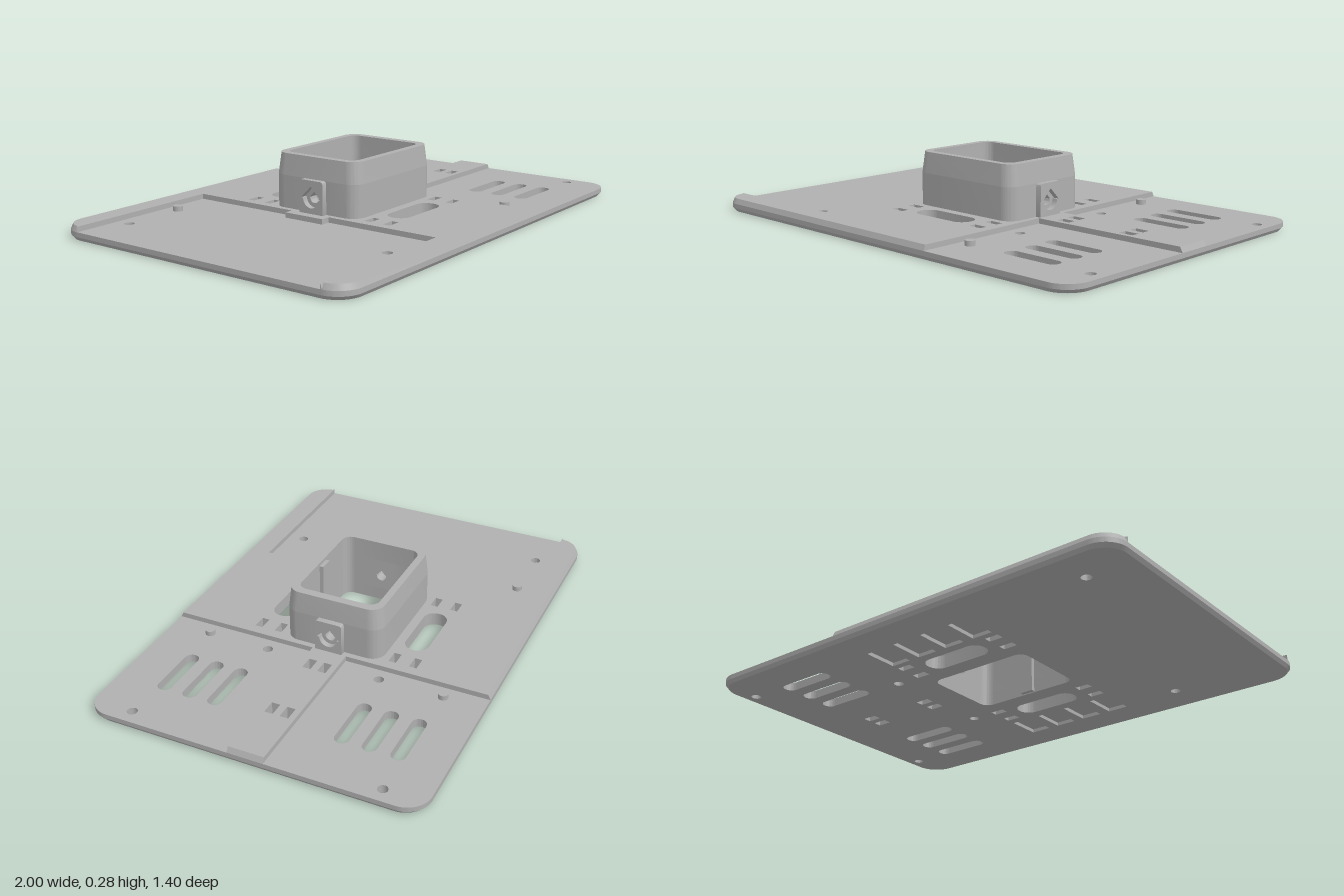
import * as THREE from 'three';
import { toCreasedNormals } from 'three/addons/utils/BufferGeometryUtils.js';

const BASE = 0.035, DECK = 0.057, PAD = 0.015, BOSS = 0.195, TOP = 0.285;

// Rounded rectangle, usable as an outline or a hole
function rect(x0, x1, y0, y1, r = 0) {
  const s = new THREE.Shape();
  if (r === 0) {
    s.moveTo(x0, y0).lineTo(x1, y0).lineTo(x1, y1).lineTo(x0, y1).closePath();
    return s;
  }
  s.moveTo(x0 + r, y0);
  s.lineTo(x1 - r, y0);
  s.absarc(x1 - r, y0 + r, r, -Math.PI / 2, 0);
  s.lineTo(x1, y1 - r);
  s.absarc(x1 - r, y1 - r, r, 0, Math.PI / 2);
  s.lineTo(x0 + r, y1);
  s.absarc(x0 + r, y1 - r, r, Math.PI / 2, Math.PI);
  s.lineTo(x0, y0 + r);
  s.absarc(x0 + r, y0 + r, r, Math.PI, Math.PI * 1.5);
  return s;
}

function polygon(points) {
  return new THREE.Shape(points.map(([x, y]) => new THREE.Vector2(x, y)));
}

function circle(x, y, r) {
  const s = new THREE.Shape();
  s.absarc(x, y, r, 0, Math.PI * 2);
  return s;
}

// Extrude a plan (x, z) from y0 to y1; chamfer(vertex) may pull in edge vertices
function slab(shape, holes, y0, y1, chamfer) {
  shape.holes = holes;
  const g = new THREE.ExtrudeGeometry(shape, { depth: y1 - y0, bevelEnabled: false, curveSegments: 10 });
  g.rotateX(Math.PI / 2).translate(0, y1, 0);
  if (chamfer) {
    const p = g.attributes.position, v = new THREE.Vector3();
    for (let i = 0; i < p.count; i++) {
      v.fromBufferAttribute(p, i);
      chamfer(v);
      p.setXYZ(i, v.x, v.y, v.z);
    }
  }
  return toCreasedNormals(g, 0.5);
}

// Extrude a (z, y) profile along x
function sidePlate(shape, hole, x0, x1) {
  shape.holes = [hole];
  const g = new THREE.ExtrudeGeometry(shape, { depth: x1 - x0, bevelEnabled: false, curveSegments: 10 });
  g.rotateY(Math.PI / 2).translate(x0, 0, 0);
  return toCreasedNormals(g, 0.5);
}

export function createModel() {
  const model = new THREE.Group();
  model.name = 'mountingPlate';
  const grey = new THREE.MeshStandardMaterial({ color: 0xb0b0b0 });
  grey.name = 'grey plastic';
  const add = (name, geometry, parent = model) => {
    const m = new THREE.Mesh(geometry, grey);
    m.name = name;
    parent.add(m);
    return m;
  };

  const socketHole = () => rect(-0.235, 0.23, -0.18, 0.17, 0.04);

  // Openings shared by the base and the raised deck
  const deckHoles = () => {
    const holes = [socketHole(),
      rect(-0.15, 0.145, -0.36, -0.258, 0.05), rect(-0.15, 0.145, 0.25, 0.352, 0.05)];
    for (const x of [-0.23, 0.225])
      for (const z of [-0.355, -0.265, 0.255, 0.345]) holes.push(rect(x - 0.031, x + 0.031, z - 0.016, z + 0.016));
    for (const x of [0.407, 0.723])
      for (const z of [-0.037, 0.029]) holes.push(rect(x - 0.031, x + 0.031, z - 0.018, z + 0.018));
    return holes;
  };

  // Openings of the base only: vent slots and screw holes
  const baseHoles = () => {
    const holes = deckHoles();
    for (const z of [-0.505, -0.39, -0.277, 0.268, 0.38, 0.495])
      holes.push(rect(0.522, 0.778, z - 0.03, z + 0.03, 0.0295));
    for (const [x, z] of [[-0.787, -0.537], [-0.515, 0.53], [0.36, -0.253], [0.36, 0.247], [0.94, -0.527], [0.94, 0.52]])
      holes.push(circle(x, z, 0.021));
    return holes;
  };

  // Rectangular recesses in the underside
  const pads = [];
  for (const x of [-0.21, -0.07, 0.07, 0.21])
    for (const z of [-0.475, 0.475]) pads.push(rect(x - 0.046, x + 0.046, z - 0.075, z + 0.075));

  // Base plate in two layers, with a chamfered bottom edge
  const outline = () => rect(-1, 1, -0.7, 0.7, 0.1);
  const pullIn = (v) => {
    if (Math.abs(v.x) > 0.965 || Math.abs(v.z) > 0.66) {
      v.x *= 0.99;
      v.z *= 0.986;
    }
  };
  add('basePlateUnderside', slab(outline(), [...baseHoles(), ...pads], 0, PAD, (v) => {
    if (v.y < 0.001) pullIn(v);
  }));
  add('basePlate', slab(outline(), baseHoles(), PAD, BASE));

  // Raised deck: side rims around the pocket, centre field and long strip
  const deck = new THREE.Shape();
  deck.moveTo(0.3, -0.7);
  deck.lineTo(0.3, -0.08);
  deck.lineTo(1, -0.08);
  deck.lineTo(1, 0.07);
  deck.lineTo(0.3, 0.07);
  deck.lineTo(0.3, 0.7);
  deck.lineTo(-0.9, 0.7);
  deck.absarc(-0.9, 0.6, 0.1, Math.PI / 2, Math.PI);
  for (const [x, z] of [[-0.3, 0.6], [-0.3, 0.09], [-0.34, 0.09], [-0.34, -0.1], [-0.3, -0.1], [-0.3, -0.6], [-1, -0.6]])
    deck.lineTo(x, z);
  deck.absarc(-0.9, -0.6, 0.1, Math.PI, Math.PI * 1.5);
  add('raisedDeck', slab(deck, deckHoles(), BASE, DECK, (v) => {
    if (v.y < DECK - 0.001) return;
    if (v.x > 0.99) v.x = 0.988;
    else if (Math.abs(v.z) > 0.605) {
      if (v.x < -0.9) v.x += 0.01 * (-0.9 - v.x) / 0.1;
      v.z -= Math.sign(v.z) * 0.1 * (Math.abs(v.z) - 0.6);
    }
  }));

  // Locating pegs
  for (const [x, z] of [[-0.515, -0.537], [0.36, -0.527], [0.36, 0.52]])
    add('peg', new THREE.CylinderGeometry(0.021, 0.021, 0.021, 24)).position.set(x, BASE + 0.0105, z);

  // Socket: two halves below, leaving room for the side bosses, and a full ring above
  const socket = new THREE.Group();
  socket.name = 'socket';
  model.add(socket);
  const half = (zOut, zIn, zGap, sign) => {
    const s = new THREE.Shape(), r = 0.06, q = 0.04, a = Math.PI / 2 * sign;
    s.moveTo(0.275, zGap);
    s.lineTo(0.275, zOut - sign * r);
    s.absarc(0.215, zOut - sign * r, r, 0, a, sign < 0);
    s.lineTo(-0.215, zOut);
    s.absarc(-0.215, zOut - sign * r, r, a, 2 * a, sign < 0);
    s.lineTo(-0.275, zGap);
    s.lineTo(-0.235, zGap);
    s.lineTo(-0.235, zIn - sign * q);
    s.absarc(-0.195, zIn - sign * q, q, 2 * a, a, sign > 0);
    s.lineTo(0.19, zIn);
    s.absarc(0.19, zIn - sign * q, q, a, 0, sign > 0);
    s.lineTo(0.23, zGap);
    return s;
  };
  add('socketFrontHalf', slab(half(0.21, 0.17, 0.06, 1), [], DECK, BOSS), socket);
  add('socketBackHalf', slab(half(-0.22, -0.18, -0.06, -1), [], DECK, BOSS), socket);
  add('socketRim', slab(rect(-0.275, 0.275, -0.22, 0.21, 0.06), [socketHole()], BOSS, TOP, (v) => {
    if (v.y > TOP - 0.001 && (Math.abs(v.x) > 0.25 || v.z > 0.18 || v.z < -0.19)) {
      v.x *= 0.965;
      v.z *= 0.955;
    }
  }), socket);

  // Key rib on the inner front wall
  add('keyRib', new THREE.BoxGeometry(0.06, 0.265, 0.02), socket).position.set(-0.003, 0.1375, 0.163);

  // Side bosses with a stepped, pointed cable hole
  const cableHole = (w, r, h) => {
    const pts = [[w, 0.12], [0, 0.12 + h], [-w, 0.12]];
    for (let i = 0; i <= 10; i++) {
      const a = Math.PI * (1 + i / 10);
      pts.push([r * Math.cos(a) * 0.999, 0.12 + r * Math.sin(a)]);
    }
    return polygon(pts);
  };
  for (const side of [1, -1]) {
    const inner = side > 0 ? [0.23, 0.275] : [-0.275, -0.235];
    const outer = side > 0 ? [0.275, 0.3] : [-0.3, -0.275];
    add('wallInsert', sidePlate(rect(-0.06, 0.06, DECK, BOSS), cableHole(0.024, 0.023, 0.027), ...inner), socket);
    add('sideBoss', sidePlate(rect(-0.06, 0.06, DECK - 0.012, BOSS, 0.012), cableHole(0.05, 0.04, 0.05), ...outer), socket);
  }
  return model;
}
